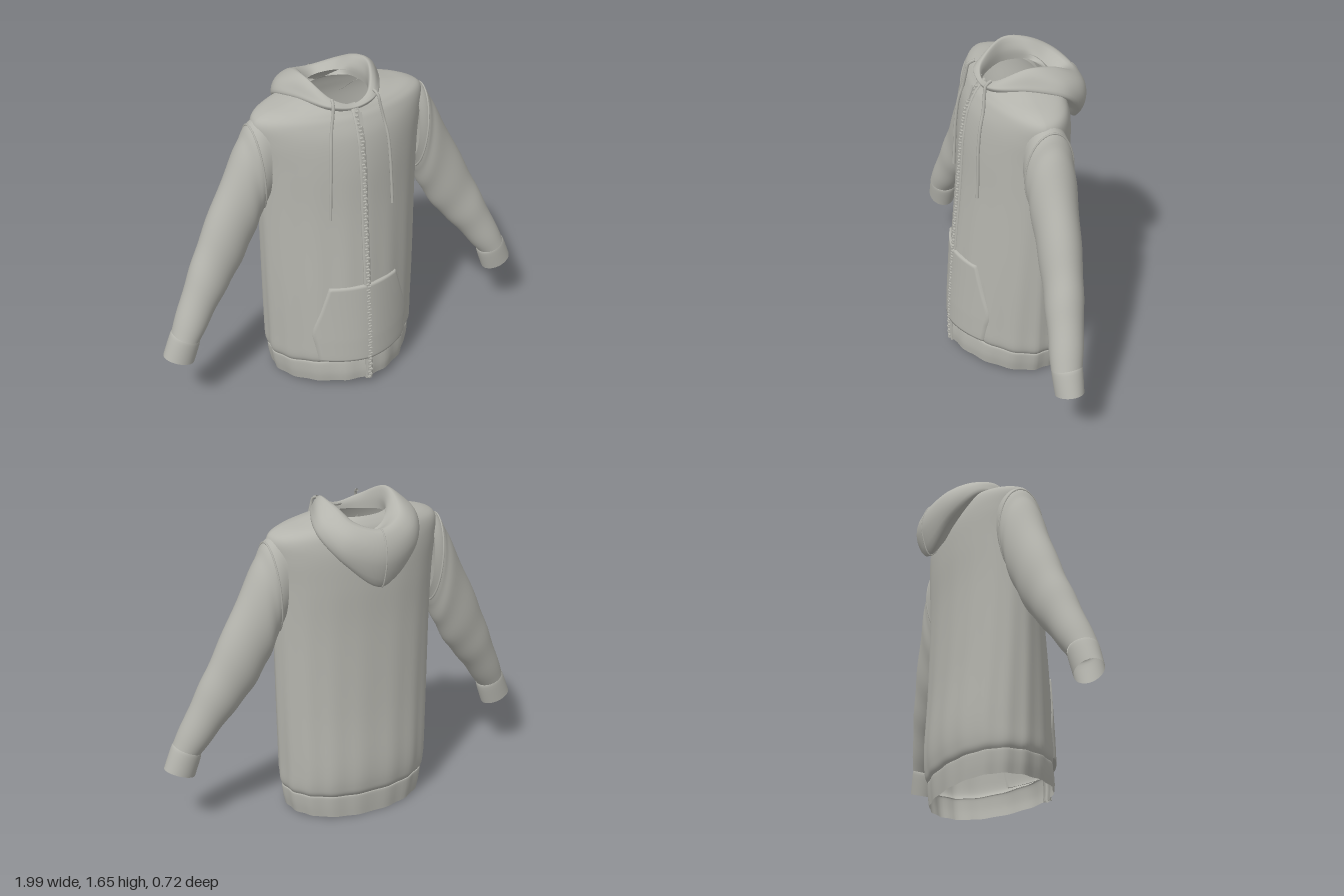
import * as THREE from 'three';
import { mergeGeometries } from 'three/addons/utils/BufferGeometryUtils.js';

const TAU = Math.PI * 2;
const fabric = new THREE.MeshStandardMaterial({ color: 0xb4b4ad, side: THREE.DoubleSide });
fabric.name = 'warm grey fabric';

// Smooth interpolation through rows of numbers, t in 0..1
function sample(rows, t, closed = false) {
  const n = rows.length;
  const f = t * (closed ? n : n - 1);
  const i = closed ? Math.floor(f) : Math.min(Math.floor(f), n - 2);
  const k = f - i;
  const row = (j) => rows[closed ? (j + n) % n : Math.max(0, Math.min(n - 1, j))];
  const [p, a, b, q] = [row(i - 1), row(i), row(i + 1), row(i + 2)];
  return a.map((_, c) => a[c] + 0.5 * k * (b[c] - p[c]
    + k * (2 * p[c] - 5 * a[c] + 4 * b[c] - q[c] + k * (3 * (a[c] - b[c]) + q[c] - p[c]))));
}

// Skin a surface over rings of [x, y, z] points
function loft(rings, closeRing = true, closeEnds = false) {
  const m = rings.length, n = rings[0].length, index = [];
  for (let i = 0; i < (closeEnds ? m : m - 1); i++) {
    for (let j = 0; j < (closeRing ? n : n - 1); j++) {
      const a = i * n + j, b = i * n + (j + 1) % n;
      const c = ((i + 1) % m) * n + j, d = ((i + 1) % m) * n + (j + 1) % n;
      index.push(a, b, d, a, d, c);
    }
  }
  const g = new THREE.BufferGeometry();
  g.setAttribute('position', new THREE.Float32BufferAttribute(rings.flat(2), 3));
  g.setIndex(index);
  g.computeVertexNormals();
  return g;
}

const range = (n, fn) => Array.from({ length: n }, (_, i) => fn(i));
const cord = (pts, r, closed = false) => new THREE.TubeGeometry(
  new THREE.CatmullRomCurve3(pts.map((p) => new THREE.Vector3(...p)), closed), pts.length * 4, r, 6, closed);

// Body rows: side y, front y, back y, half width, front depth, back depth
const bandRows = [
  [0.025, 0.06, 0.01, 0.365, 0.335, 0.235],
  [0.08, 0.11, 0.07, 0.378, 0.338, 0.24],
  [0.135, 0.175, 0.125, 0.385, 0.33, 0.242],
  [0.14, 0.182, 0.13, 0.379, 0.32, 0.236],
];
const torsoRows = [
  [0.14, 0.18, 0.13, 0.379, 0.32, 0.236],
  [0.18, 0.21, 0.17, 0.395, 0.335, 0.255],
  [0.3, 0.31, 0.3, 0.4, 0.33, 0.263],
  [0.6, 0.6, 0.6, 0.41, 0.308, 0.245],
  [1.0, 1.0, 1.0, 0.42, 0.27, 0.233],
  [1.25, 1.25, 1.25, 0.43, 0.252, 0.235],
  [1.4, 1.4, 1.4, 0.447, 0.228, 0.23],
  [1.49, 1.485, 1.48, 0.447, 0.195, 0.215],
  [1.53, 1.52, 1.53, 0.39, 0.172, 0.2],
  [1.555, 1.54, 1.56, 0.28, 0.157, 0.18],
  [1.58, 1.548, 1.58, 0.165, 0.147, 0.16],
];
const FRONT = 1.7, BACK = 2.2;

function bodyRing([side, front, back, a, zf, zb], segs = 96) {
  return range(segs, (j) => {
    const th = j / segs * TAU, c = Math.cos(th), s = Math.sin(th);
    const e = 2 / (s > 0 ? FRONT : BACK);
    // soft vertical folds, fading out toward the shoulders
    const fold = 1 + 0.012 * Math.sin(th * 17 + side * 1.5) * Math.max(0, 1 - side / 1.4);
    return [
      a * fold * Math.sign(c) * Math.abs(c) ** e,
      side + ((s > 0 ? front : back) - side) * s * s,
      fold * (s > 0 ? zf : -zb) * Math.abs(s) ** e,
    ];
  });
}

// Depth of the front surface at a given x and y
const frontRows = [...bandRows.slice(0, 2), ...torsoRows.slice(1)];
function frontZ(x, y) {
  let i = 0;
  while (i < frontRows.length - 2 && frontRows[i + 1][1] < y) i++;
  const [p, q] = [frontRows[i], frontRows[i + 1]];
  const k = THREE.MathUtils.clamp((y - p[1]) / (q[1] - p[1]), 0, 1);
  const a = p[3] + (q[3] - p[3]) * k, z = p[4] + (q[4] - p[4]) * k;
  return z * Math.max(0, 1 - Math.abs(x / a) ** FRONT) ** (1 / FRONT);
}

// Sleeve rows: upper edge x, y, lower edge x, y, centre z, half depth
const sleeveRows = [
  [0.4, 1.51, 0.4, 1.06, -0.015, 0.115],
  [0.465, 1.475, 0.42, 1.02, -0.015, 0.12],
  [0.54, 1.34, 0.47, 0.9, -0.015, 0.115],
  [0.72, 0.98, 0.56, 0.74, 0, 0.1],
  [0.84, 0.72, 0.69, 0.58, 0.03, 0.09],
  [0.945, 0.48, 0.81, 0.42, 0.065, 0.077],
];
const cuffRows = [
  [0.941, 0.482, 0.813, 0.425, 0.065, 0.07],
  [0.955, 0.465, 0.812, 0.4, 0.065, 0.074],
  [0.997, 0.36, 0.845, 0.302, 0.067, 0.068],
];
const sleeveRing = ([ux, uy, lx, ly, z, h], ripple = 0) => range(40, (j) => {
  const th = j / 40 * TAU, c = Math.cos(th) / 2 * (1 + ripple);
  return [(ux + lx) / 2 + (ux - lx) * c, (uy + ly) / 2 + (uy - ly) * c, z + h * Math.sin(th) * (1 + ripple)];
});

// Hood sections from front to back: inner edge, lining, ridge, outside, hanging edge, tuck
const hoodRows = [
  [0, 1.52, 0.14, 0, 1.54, 0.143, 0, 1.555, 0.15, 0, 1.552, 0.156, 0, 1.547, 0.162, 0, 1.54, 0.167, 0, 1.52, 0.16],
  [0.09, 1.52, 0.11, 0.09, 1.56, 0.11, 0.1, 1.59, 0.115, 0.115, 1.587, 0.125, 0.125, 1.575, 0.135, 0.13, 1.56, 0.14, 0.12, 1.53, 0.12],
  [0.155, 1.54, 0, 0.15, 1.6, 0, 0.165, 1.66, -0.01, 0.195, 1.64, -0.01, 0.215, 1.6, -0.01, 0.225, 1.57, -0.01, 0.2, 1.54, -0.01],
  [0.13, 1.55, -0.11, 0.125, 1.6, -0.12, 0.16, 1.645, -0.14, 0.22, 1.61, -0.165, 0.255, 1.57, -0.175, 0.265, 1.52, -0.17, 0.2, 1.5, -0.15],
  [0.07, 1.55, -0.15, 0.07, 1.55, -0.19, 0.12, 1.59, -0.25, 0.17, 1.54, -0.295, 0.19, 1.46, -0.3, 0.17, 1.39, -0.275, 0.12, 1.42, -0.22],
  [0, 1.55, -0.165, 0, 1.52, -0.22, 0, 1.555, -0.3, 0, 1.49, -0.347, 0, 1.39, -0.355, 0, 1.27, -0.31, 0, 1.36, -0.235],
];
const mirrorRow = (r) => r.map((v, i) => (i % 3 ? v : -v));
const hoodLoop = [...hoodRows, ...hoodRows.slice(1, -1).reverse().map(mirrorRow)];
const hoodSection = (t, n = 25) => {
  const flat = sample(hoodLoop, t, true);
  const pts = range(7, (i) => flat.slice(i * 3, i * 3 + 3));
  return range(n, (j) => sample(pts, j / (n - 1)));
};

export function createModel() {
  const model = new THREE.Group();
  const add = (name, geometry, parent = model) => {
    const mesh = new THREE.Mesh(geometry, fabric);
    mesh.name = name;
    parent.add(mesh);
    return mesh;
  };

  // Torso and hem band
  add('torso', loft(range(81, (i) => bodyRing(sample(torsoRows, i / 80)))));
  add('hemBand', loft(range(13, (i) => bodyRing(sample(bandRows, i / 12)))));

  // Hood lying on the back, with its centre seam
  add('hood', loft(range(80, (i) => hoodSection(i / 80)), false, true));
  add('hoodSeam', cord(hoodSection(0.5).slice(8, 23), 0.004));

  // Sleeves, cuffs, seams and drawstrings on each side
  for (const side of [1, -1]) {
    const arm = new THREE.Group();
    arm.name = side > 0 ? 'leftSleeve' : 'rightSleeve';
    arm.scale.x = side;
    model.add(arm);
    add('sleeve', loft(range(41, (i) => sleeveRing(sample(sleeveRows, i / 40), 0.018 * Math.sin(i * 0.9) * (i > 10 ? 1 : 0)))), arm);
    add('cuff', loft(range(9, (i) => sleeveRing(sample(cuffRows, i / 8)))), arm);
    add('armholeSeam', cord(sleeveRing(sleeveRows[1]), 0.005, true), arm);
    const path = [[0.11, 1.6, 0.145], [0.118, 1.585, 0.175], [0.125, 1.54, 0.185],
      ...[[0.14, 1.46], [0.152, 1.38], [0.16, 1.25], [0.166, 1.12], [0.17, 1.01]]
        .map(([x, y]) => [x, y, frontZ(x, y) + 0.01])];
    add('drawstring', cord(path.map(([x, y, z]) => [x * side, y, z]), 0.008));
  }

  // Front pocket, its border tucked into the torso
  const pocketWidths = [[0.185, 0.238], [0.27, 0.252], [0.36, 0.262], [0.49, 0.224], [0.62, 0.185]];
  add('pocket', loft(range(25, (i) => {
    const [y, w] = sample(pocketWidths, THREE.MathUtils.clamp((i - 1) / 22, 0, 1));
    return range(41, (j) => {
      const x = w * THREE.MathUtils.clamp((j - 20) / 19, -1, 1);
      const border = i === 0 || i === 24 || j === 0 || j === 40;
      return [x, y, frontZ(x, y) + (border ? -0.01 : 0.012)];
    });
  }), false));

  // Zip tape, teeth and pull
  add('zipTape', loft(range(60, (i) => {
    const y = 0.055 + i / 59 * 1.495, z = frontZ(0, y);
    return [[-0.018, y, z - 0.015], [-0.018, y, z + 0.009], [0.018, y, z + 0.009], [0.018, y, z - 0.015]];
  })));
  add('zipTeeth', mergeGeometries(range(90, (i) => {
    const y = 0.065 + i * 0.0164;
    return new THREE.BoxGeometry(0.016, 0.009, 0.014).translate(i % 2 ? 0.003 : -0.003, y, frontZ(0, y) + 0.012);
  })));
  const pull = add('zipPull', new THREE.BoxGeometry(0.018, 0.065, 0.008));
  pull.position.set(0.008, 1.5, frontZ(0, 1.5) + 0.026);
  pull.rotation.x = -0.35;

  return model;
}
